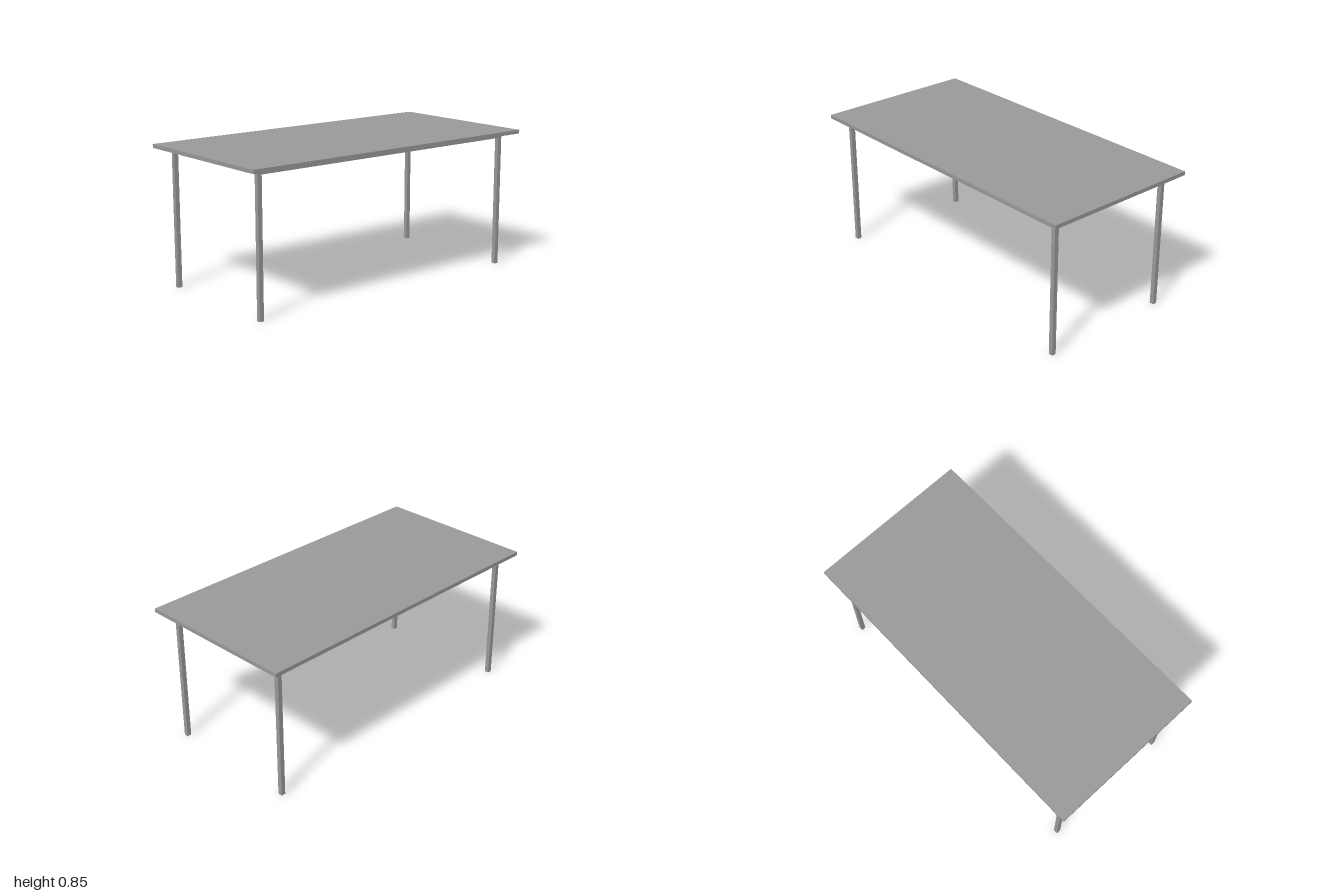
import * as THREE from 'three';

const material = new THREE.MeshStandardMaterial({ color: 0x999999 });

const TOP_Y = 0.851;      // upper face of the table top
const FRAME_Y = 0.828;    // underside of the table top
const TUBE = 0.0265;      // square tube width
const LEG_X = 0.908;      // leg centre lines
const LEG_Z = 0.409;

export function createModel() {
  const table = new THREE.Group();
  table.name = 'table';

  const addBox = (name, size, position) => {
    const mesh = new THREE.Mesh(new THREE.BoxGeometry(...size), material);
    mesh.name = name;
    mesh.position.set(...position);
    table.add(mesh);
  };

  // Flat rectangular top
  addBox('tableTop', [2, TOP_Y - FRAME_Y, 0.994], [0, (TOP_Y + FRAME_Y) / 2, 0]);

  // Four square legs
  for (const [side, sx] of [['left', 1], ['right', -1]]) {
    for (const [end, sz] of [['Front', 1], ['Back', -1]]) {
      addBox(`${side}${end}Leg`, [TUBE, FRAME_Y, TUBE], [sx * LEG_X, FRAME_Y / 2, sz * LEG_Z]);
    }
  }

  // Rails fitted between the legs, against the underside of the top
  const railY = FRAME_Y - TUBE / 2;
  for (const [name, s] of [['front', 1], ['back', -1]]) {
    addBox(`${name}Rail`, [2 * LEG_X - TUBE, TUBE, TUBE], [0, railY, s * LEG_Z]);
  }
  for (const [name, s] of [['left', 1], ['right', -1]]) {
    addBox(`${name}Rail`, [TUBE, TUBE, 2 * LEG_Z - TUBE], [s * LEG_X, railY, 0]);
  }

  return table;
}
